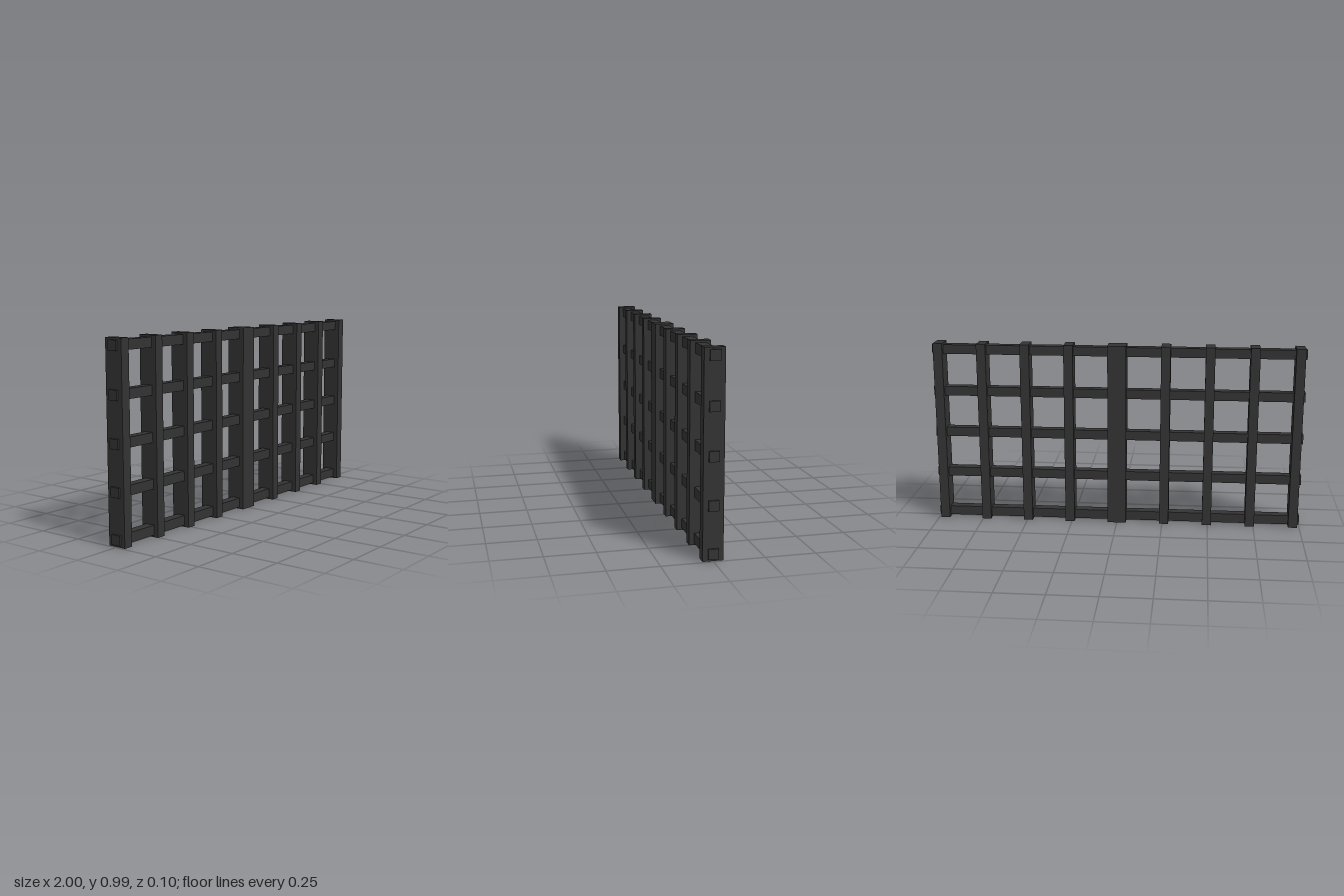
import * as THREE from 'three';

const HEIGHT = 0.99;
const BAR = 0.05;      // width of posts and rails
const PITCH = 0.235;   // spacing between posts

export function createModel() {
  const group = new THREE.Group();
  const iron = new THREE.MeshStandardMaterial({ color: 0x333333 });
  iron.name = 'dark iron';

  const postGeometry = new THREE.BoxGeometry(BAR, HEIGHT, 0.1);
  const railGeometry = new THREE.BoxGeometry(1, BAR, BAR);

  // Two mirrored panels meeting at the centre
  for (const side of [1, -1]) {
    const panel = new THREE.Group();
    panel.name = side > 0 ? 'leftPanel' : 'rightPanel';
    const add = (geometry, name, x, y) => {
      const mesh = new THREE.Mesh(geometry, iron);
      mesh.name = name;
      mesh.position.set(side * x, y, 0);
      panel.add(mesh);
    };

    for (let i = 0; i < 5; i++) {
      // Deep upright posts
      add(postGeometry, `post${i + 1}`, BAR / 2 + i * PITCH, HEIGHT / 2);
      // Square rails threaded through the posts, ends slightly proud
      add(railGeometry, `rail${i + 1}`, 0.5, 0.035 + i * 0.23);
    }
    group.add(panel);
  }
  return group;
}
